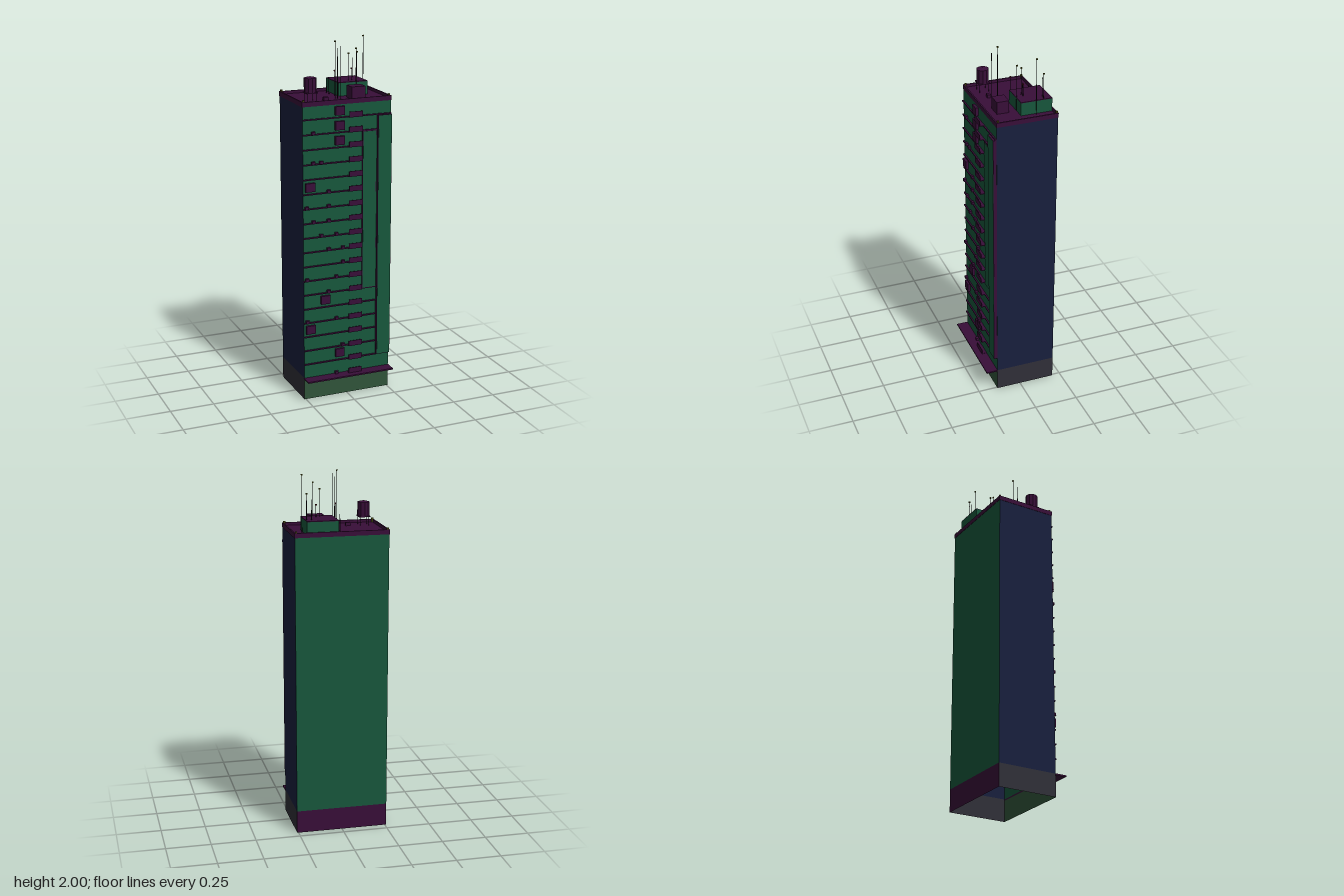
import * as THREE from 'three';

const mat = (color) => new THREE.MeshStandardMaterial({ color, flatShading: true, side: THREE.DoubleSide });

export function createModel() {
  const green = mat(0x17573c), purple = mat(0x380e38), navy = mat(0x181f3d);
  const baseGreen = mat(0x305439), baseGrey = mat(0x302f38), dark = mat(0x141014);
  const olive = mat(0x4a4a12), red = mat(0x4a1018);
  const group = new THREE.Group();

  const add = (name, geo, m, x = 0, y = 0, z = 0) => {
    const mesh = new THREE.Mesh(geo, m);
    mesh.name = name;
    mesh.position.set(x, y, z);
    group.add(mesh);
    return mesh;
  };
  // box given by its extents
  const box = (name, m, x0, x1, y0, y1, z0, z1) =>
    add(name, new THREE.BoxGeometry(x1 - x0, y1 - y0, z1 - z0), m, (x0 + x1) / 2, (y0 + y1) / 2, (z0 + z1) / 2);

  const L = -0.258, R = 0.258, B = -0.203, F = 0.14;
  const BASE = 0.128, ROOF = 1.68;

  // four single-sheet walls, open above and below
  const walls = (name, y0, y1, front, side, back) => {
    const h = y1 - y0, y = (y0 + y1) / 2, zc = (B + F) / 2;
    add(name + 'Front', new THREE.PlaneGeometry(R - L, h), front, 0, y, F);
    add(name + 'Back', new THREE.PlaneGeometry(R - L, h), back, 0, y, B).rotation.y = Math.PI;
    for (const s of [-1, 1])
      add(name + (s > 0 ? 'Left' : 'Right'), new THREE.PlaneGeometry(F - B, h), side, s * R, y, zc).rotation.y = s * Math.PI / 2;
  };
  walls('baseWall', 0, BASE, baseGreen, baseGrey, purple);
  walls('towerWall', BASE, ROOF, green, navy, green);

  // canopy over the entrance
  box('canopy', purple, -0.26, 0.26, 0.121, 0.129, F, 0.205);

  // roof deck and parapet with corner knobs
  add('roofDeck', new THREE.PlaneGeometry(R - L, F - B), purple, 0, 1.686, (B + F) / 2).rotation.x = -Math.PI / 2;
  box('parapetFront', purple, -0.26, 0.26, 1.676, 1.702, 0.134, 0.142);
  box('parapetBack', purple, -0.26, 0.26, 1.676, 1.702, -0.205, -0.197);
  for (const s of [-1, 1]) {
    box('parapetSide', purple, s * 0.256 - 0.004, s * 0.256 + 0.004, 1.676, 1.702, -0.197, 0.134);
    for (const z of [-0.197, 0.13])
      box('cornerKnob', olive, s * 0.25 - 0.005, s * 0.25 + 0.005, 1.686, 1.711, z - 0.005, z + 0.005);
  }

  // facade floors: ledge and balcony on each
  const pitch = 0.0821, floorY = (i) => 0.128 + i * pitch;
  for (let i = 0; i < 19; i++) {
    const y = floorY(i);
    const end = i === 18 ? 0.257 : i <= 6 || i === 17 ? 0.175 : 0.09;
    if (i > 0) box('ledge', purple, L, end, y - 0.004, y + 0.003, F, 0.148);
    box('balconyFloor', purple, 0, 0.08, y, y + 0.003, F, 0.17);
    box('balconyRail', purple, 0, 0.08, y, y + 0.031, 0.167, 0.17);
  }

  // tall stepped bays, purple-edged with green faces
  const bay = (x0, x1, y0, y1, z1) => {
    box('bay', purple, x0, x1, y0, y1, F, z1);
    box('bayFace', green, x0 + 0.003, x1 - 0.001, y0 + 0.003, y1 - 0.003, z1 - 0.002, z1 + 0.001);
  };
  bay(0.175, 0.257, 0.212, 1.603, 0.159);
  bay(0.088, 0.168, 0.62, 1.52, 0.149);
  box('bayReveal', green, 0.168, 0.175, 0.62, 1.52, F, 0.143);

  // small units resting on the ledges: floor index, x positions
  const units = [
    [0, -0.066], [2, -0.027], [4, -0.24, -0.066], [6, -0.112], [7, -0.24, -0.066], [8, -0.027],
    [9, -0.112, -0.027], [10, -0.155, -0.066], [11, -0.2, -0.112], [12, -0.24, -0.112],
    [13, -0.112], [15, -0.2, -0.155], [17, -0.2],
  ];
  for (const [i, ...xs] of units)
    for (const x of xs) box('windowUnit', purple, x - 0.01, x + 0.01, floorY(i), floorY(i) + 0.016, F, 0.155);

  // square panels
  for (const [x, y] of [[-0.046, 1.643], [-0.046, 1.562], [-0.046, 1.48], [-0.22, 1.235], [-0.132, 0.582], [-0.22, 0.417], [-0.046, 0.255]])
    box('squarePanel', purple, x - 0.027, x + 0.027, y - 0.024, y + 0.024, F, 0.155);

  // rooftop rooms
  box('penthouse', green, 0.017, 0.19, 1.686, 1.757, -0.197, -0.022);
  box('penthouseRoof', purple, 0.017, 0.19, 1.757, 1.761, -0.197, -0.022);
  box('stairHouse', purple, 0.048, 0.129, 1.686, 1.754, 0.021, 0.09);
  box('vent', purple, -0.103, -0.077, 1.686, 1.704, 0.045, 0.066);

  // water tank on four legs
  const tx = -0.18, tz = 0.056;
  add('tank', new THREE.CylinderGeometry(0.034, 0.034, 0.078, 10), purple, tx, 1.776, tz);
  add('tankLid', new THREE.ConeGeometry(0.034, 0.008, 10), purple, tx, 1.819, tz);
  box('tankPlatform', purple, tx - 0.032, tx + 0.032, 1.733, 1.738, tz - 0.032, tz + 0.032);
  for (const sx of [-1, 1])
    for (const sz of [-1, 1])
      add('tankLeg', new THREE.CylinderGeometry(0.0015, 0.0015, 0.05, 5), dark, tx + sx * 0.025, 1.71, tz + sz * 0.025);

  // antennas: x, z, top height, tip material
  const masts = [
    [-0.023, 0.028, 2.0, olive], [-0.007, 0.068, 1.975, null], [-0.012, 0.034, 1.96, null],
    [0, -0.035, 1.83, red], [-0.005, -0.105, 1.78, null], [-0.005, -0.14, 1.76, null],
    [0.092, -0.06, 1.915, olive], [0.113, -0.062, 1.83, red], [0.122, -0.023, 1.945, olive],
    [0.157, -0.153, 1.87, null], [0.183, -0.15, 1.905, olive], [0.199, -0.103, 2.0, olive],
  ];
  for (const [x, z, top, tip] of masts) {
    const h = top - 1.686;
    add('antenna', new THREE.CylinderGeometry(0.0015, 0.0022, h, 5), dark, x, 1.686 + h / 2, z);
    if (tip) box('antennaTip', tip, x - 0.004, x + 0.004, top - 0.007, top, z - 0.004, z + 0.004);
  }
  return group;
}
